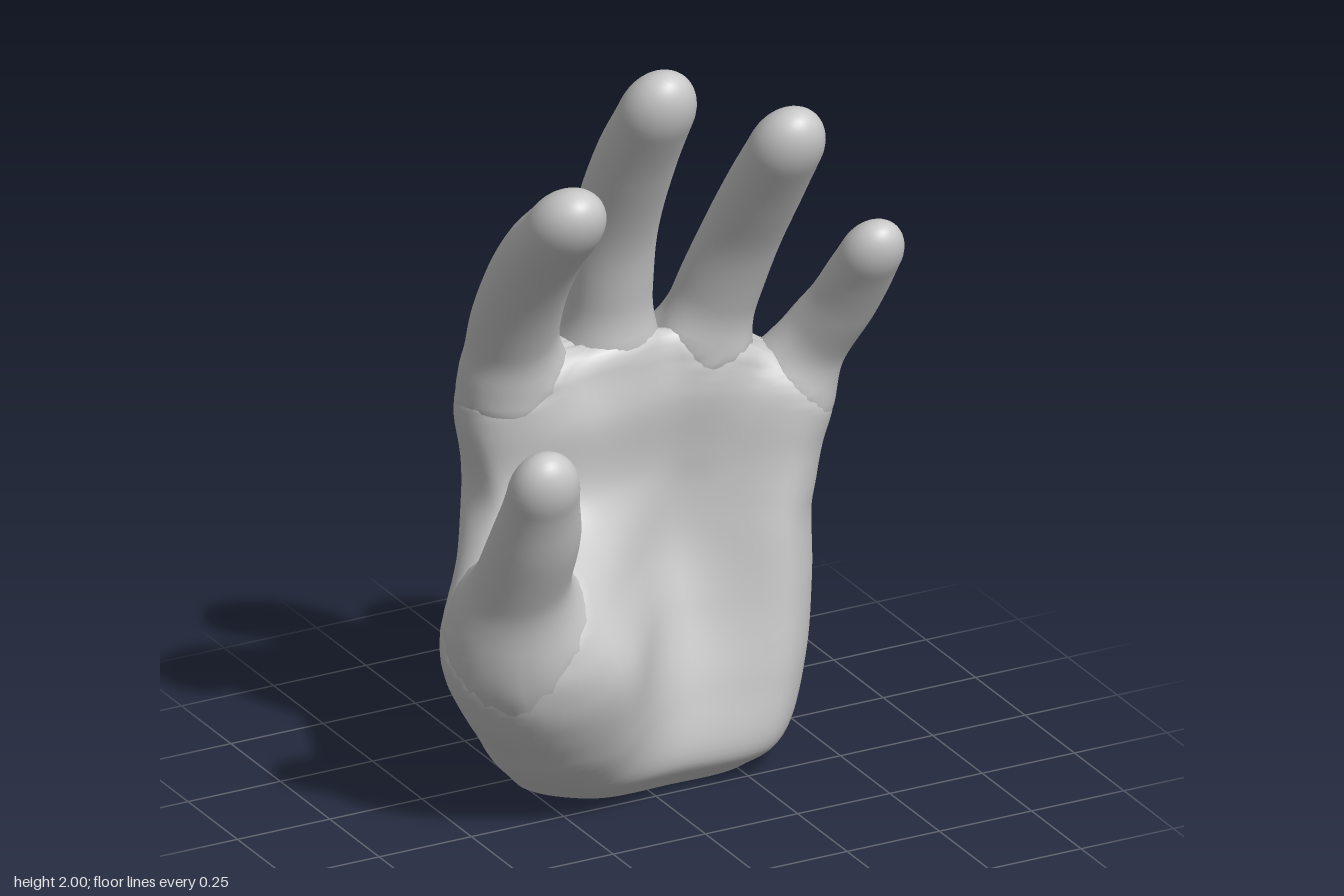
import * as THREE from 'three';

const V = (x, y, z) => new THREE.Vector3(x, y, z);
const material = new THREE.MeshStandardMaterial({ color: 0xcccccc });

// Skin a list of equal-sized rings into a closed, smooth surface
function loft(name, rings) {
  const n = rings[0].length;
  const points = rings.flat();
  const index = [];
  for (let j = 0; j < rings.length - 1; j++) {
    for (let i = 0; i < n; i++) {
      const a = j * n + i, b = j * n + (i + 1) % n;
      index.push(a, a + n, b, b, a + n, b + n);
    }
  }
  // Close both ends with a fan
  const last = (rings.length - 1) * n;
  const start = points.push(centre(rings[0])) - 1;
  const end = points.push(centre(rings[rings.length - 1])) - 1;
  for (let i = 0; i < n; i++) {
    const k = (i + 1) % n;
    index.push(start, i, k, end, last + k, last + i);
  }
  const geometry = new THREE.BufferGeometry().setFromPoints(points);
  geometry.setIndex(index);
  geometry.computeVertexNormals();
  const mesh = new THREE.Mesh(geometry, material);
  mesh.name = name;
  return mesh;
}

function centre(ring) {
  return ring.reduce((sum, p) => sum.add(p), V(0, 0, 0)).divideScalar(ring.length);
}

// How far each vertex of one part swells to flow into another part nearby
function swelling(part, other, width) {
  const p = part.geometry.attributes.position.array;
  const q = other.geometry.attributes.position.array;
  const push = new Float32Array(p.length / 3);
  for (let i = 0; i < p.length; i += 3) {
    let best = Infinity;
    for (let j = 0; j < q.length; j += 3) {
      const x = p[i] - q[j], y = p[i + 1] - q[j + 1], z = p[i + 2] - q[j + 2];
      best = Math.min(best, x * x + y * y + z * z);
    }
    const gap = Math.max(0, width - Math.sqrt(best));
    push[i / 3] = gap * gap / (4 * width);
  }
  return push;
}

// Move vertices out along their normals
function swell(part, push) {
  const { position, normal } = part.geometry.attributes;
  for (let i = 0; i < position.array.length; i++) {
    position.array[i] += normal.array[i] * push[Math.floor(i / 3)];
  }
  part.geometry.computeVertexNormals();
}

// Palm sections: height, then x,z pairs running little-finger edge, heel,
// hollow, thumb mound, thumb edge, and back across the knuckle side
const palmSections = [
  [0.00, .38, -.19, .28, -.06, .05, -.04, -.18, -.02, -.32, -.10, -.21, -.35, .06, -.435, .28, -.37],
  [0.08, .43, -.17, .31, .025, .06, .03, -.20, .08, -.38, -.07, -.26, -.36, .07, -.463, .32, -.385],
  [0.25, .47, -.15, .34, .04, .07, .02, -.21, .18, -.46, .02, -.34, -.30, .07, -.457, .35, -.385],
  [0.45, .49, -.15, .35, .03, .07, -.035, -.22, .225, -.54, .07, -.42, -.22, .04, -.425, .37, -.35],
  [0.62, .49, -.15, .35, .02, .08, -.08, -.27, .155, -.50, .06, -.42, -.21, .02, -.405, .37, -.33],
  [0.80, .495, -.13, .38, .00, .10, -.08, -.20, -.02, -.39, -.07, -.35, -.32, .00, -.39, .37, -.31],
  [1.00, .50, -.11, .40, -.01, .10, -.055, -.20, -.025, -.41, -.13, -.34, -.32, -.02, -.34, .36, -.25],
  [1.11, .42, -.11, .35, -.04, .10, -.07, -.20, -.05, -.39, -.13, -.33, -.24, -.03, -.26, .32, -.19],
];

function buildPalm() {
  const clamp = THREE.MathUtils.clamp;
  // The wrist cut rises to the back; the finger roots drop to the little finger
  const place = (x, y, z) => {
    const wrist = 0.28 * Math.max(0, -0.04 - z) + 0.12 * Math.max(0, -x);
    const roots = clamp((y - 0.9) / 0.21, 0, 1) * 0.5 * Math.max(0, x - 0.18);
    return V(x, y + clamp(1 - y / 0.6, 0, 1) * wrist - roots, z);
  };
  const columns = [];
  for (let c = 0; c < 8; c++) {
    columns.push(new THREE.CatmullRomCurve3(
      palmSections.map(s => place(s[1 + 2 * c], s[0], s[2 + 2 * c]))));
  }
  const rings = [];
  for (let j = 0; j <= 64; j++) {
    const loop = new THREE.CatmullRomCurve3(columns.map(c => c.getPoint(j / 64)), true);
    rings.push(Array.from({ length: 80 }, (_, i) => loop.getPoint(i / 80)));
  }
  const shrink = (ring, amount, lift) => {
    const mid = centre(ring);
    return ring.map(p => p.clone().lerp(mid, amount).add(V(0, lift, 0)));
  };
  // Flat wrist with a tight rim, domed webbing between the fingers
  const bottom = rings[0], top = rings[rings.length - 1];
  rings.unshift(shrink(bottom, 0.5, 0), shrink(bottom, 0.12, 0), shrink(bottom, 0.04, -0.003));
  for (const [amount, lift] of [[.08, .025], [.18, .042], [.3, .05], [.45, .055], [.6, .058], [.8, .06]]) {
    rings.push(shrink(top, amount, lift));
  }
  return loft('palm', rings);
}

// Digit swept along a path of [x, y, z, radius] with a long rounded tip
function buildDigit(name, path) {
  const curve = new THREE.CatmullRomCurve3(path.map(p => V(p[0], p[1], p[2])));
  const radii = new THREE.SplineCurve(path.map((p, i) => new THREE.Vector2(i, p[3])));
  const sides = 32, steps = 48, tipSteps = 12, tipLength = 1.5;
  const ring = (t, forward, scale) => {
    const tangent = curve.getTangent(t);
    const radius = radii.getPoint(t).y;
    const depth = 0.97 - 0.1 * t;
    const mid = curve.getPoint(t).addScaledVector(tangent, forward * radius);
    const side = V(1, 0, 0).addScaledVector(tangent, -tangent.x).normalize();
    const front = side.clone().cross(tangent);
    return Array.from({ length: sides }, (_, i) => {
      const a = i / sides * Math.PI * 2;
      return mid.clone()
        .addScaledVector(side, Math.cos(a) * radius * scale)
        .addScaledVector(front, Math.sin(a) * radius * scale * depth);
    });
  };
  const rings = [];
  for (let j = 0; j <= steps; j++) rings.push(ring(j / steps, 0, 1));
  for (let j = 1; j < tipSteps; j++) {
    const a = j / tipSteps * Math.PI / 2;
    rings.push(ring(1, Math.sin(a) * tipLength, Math.cos(a)));
  }
  return loft(name, rings);
}

// Paths run from inside the palm to the start of the rounded fingertip
const digits = {
  indexFinger: [
    [-.25, .86, -.21, .06], [-.29, 1.03, -.185, .108], [-.325, 1.2, -.125, .112],
    [-.35, 1.38, -.02, .107], [-.362, 1.54, .105, .103], [-.368, 1.655, .225, .096]],
  middleFinger: [
    [-.02, .86, -.23, .06], [-.035, 1.04, -.21, .104], [-.05, 1.22, -.155, .108],
    [-.07, 1.47, -.078, .106], [-.085, 1.7, .05, .103], [-.092, 1.873, .172, .096]],
  ringFinger: [
    [.17, .86, -.19, .06], [.19, 1.03, -.17, .102], [.21, 1.2, -.11, .106],
    [.23, 1.42, .0, .1], [.233, 1.59, .115, .098], [.23, 1.735, .225, .094]],
  littleFinger: [
    [.37, .74, -.13, .06], [.405, .9, -.115, .09], [.452, 1.06, -.065, .092],
    [.487, 1.2, .03, .086], [.497, 1.3, .1, .083], [.497, 1.374, .157, .079]],
  thumb: [
    [-.27, .26, -.02, .08], [-.345, .4, .02, .14], [-.42, .56, .085, .142],
    [-.455, .71, .165, .12], [-.472, .89, .275, .11], [-.5, 1.04, .363, .09]],
};

export function createModel() {
  const hand = new THREE.Group();
  hand.name = 'hand';
  const palm = buildPalm();
  hand.add(palm);
  // Blend every digit root with the palm
  const palmPush = new Float32Array(palm.geometry.attributes.position.count);
  for (const [name, path] of Object.entries(digits)) {
    const digit = buildDigit(name, path);
    const width = name === 'thumb' ? 0.17 : 0.12;
    swelling(palm, digit, width).forEach((d, i) => { palmPush[i] = Math.max(palmPush[i], d); });
    swell(digit, swelling(digit, palm, width));
    hand.add(digit);
  }
  swell(palm, palmPush);
  return hand;
}
